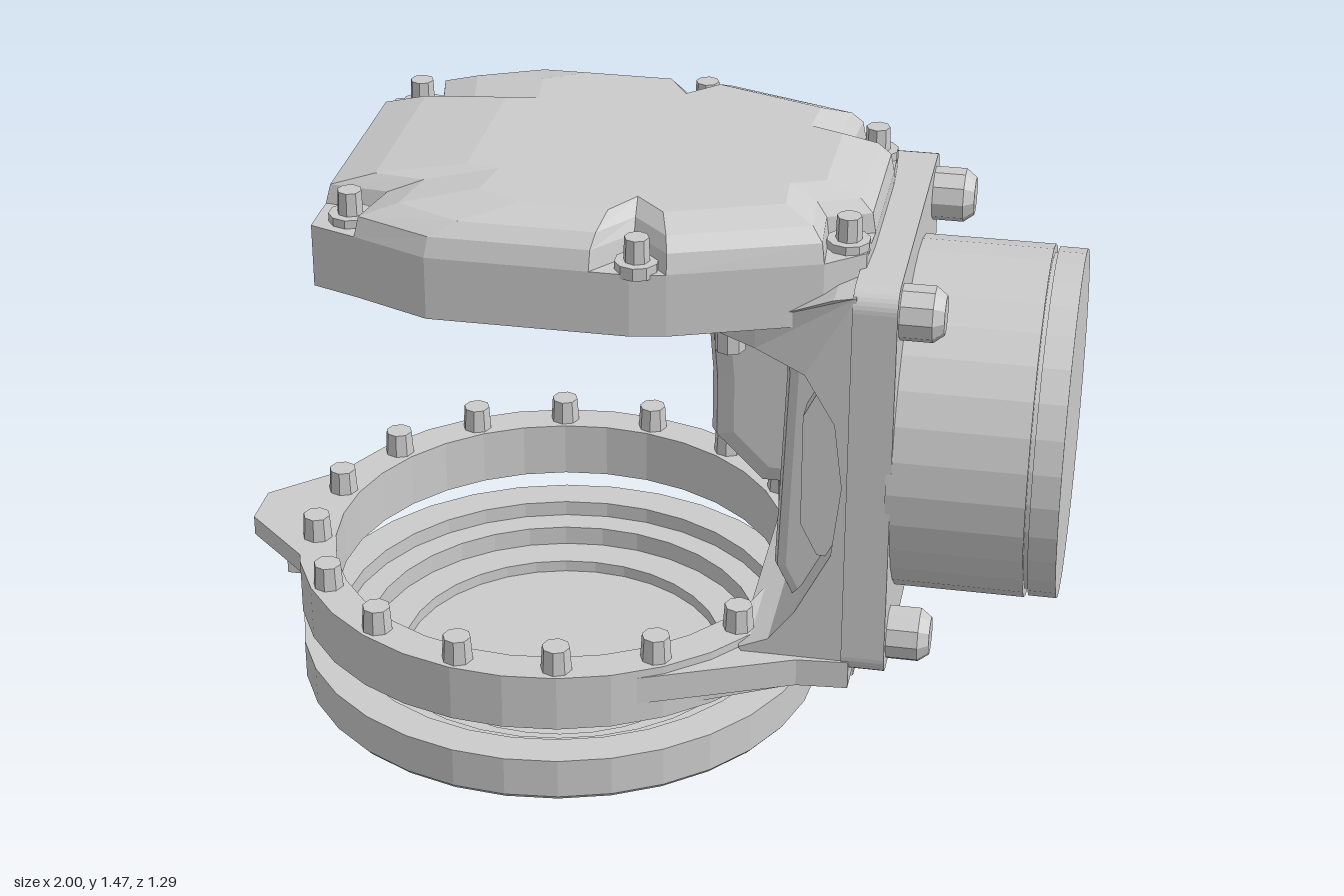
import * as THREE from 'three';

const CX = -0.23; // axis of the flange and lid
const mat = new THREE.MeshStandardMaterial({ color: 0xcccccc, flatShading: true, side: THREE.DoubleSide });

export function createModel() {
  const model = new THREE.Group();

  const add = (name, geo, x = 0, y = 0, z = 0) => {
    const m = new THREE.Mesh(geo, mat);
    m.name = name;
    m.position.set(x, y, z);
    model.add(m);
    return m;
  };
  const poly = pts => new THREE.Shape(pts.map(p => new THREE.Vector2(...p)));
  // Plan outline raised upwards
  const slab = (shape, h) =>
    new THREE.ExtrudeGeometry(shape, { depth: h, bevelEnabled: false, curveSegments: 16 }).rotateX(-Math.PI / 2);
  // Side profile (x, y) extruded symmetrically across z
  const across = (pts, w, bevel = 0) =>
    new THREE.ExtrudeGeometry(poly(pts), {
      depth: w - 2 * bevel, bevelEnabled: bevel > 0, bevelSize: bevel, bevelThickness: bevel,
      bevelOffset: -bevel, bevelSegments: 2,
    }).translate(0, 0, -w / 2 + bevel);
  const lathe = (pts, n = 32) => new THREE.LatheGeometry(pts.map(p => new THREE.Vector2(...p)), n);

  // Domed lid, hollow and stepped inside
  add('lid', lathe([
    [0, 0.005], [0.42, 0.005], [0.57, 0.05], [0.635, 0.058], [0.645, 0.07], [0.645, 0.17], [0.555, 0.17],
    [0.555, 0.13], [0.49, 0.13], [0.49, 0.08], [0.4, 0.08], [0.4, 0.05], [0, 0.05],
  ]), CX);
  add('lidTab', new THREE.BoxGeometry(0.15, 0.045, 0.1), CX, 0.029, 0.49);

  // Bolted ring flange
  add('flangeRing', lathe([
    [0.555, 0.26], [0.645, 0.26], [0.645, 0.4], [0.555, 0.4], [0.555, 0.26],
  ]), CX);
  add('flangePointer', slab(poly([
    [-1, -0.06], [-0.83, -0.22], [-0.77, -0.27], [-0.79, 0], [-0.77, 0.27], [-0.83, 0.22], [-1, 0.06],
  ]), 0.05), 0, 0.35);
  add('pointerRib', new THREE.BoxGeometry(0.06, 0.05, 0.3), -0.86, 0.33, 0);
  for (let i = 1; i < 15; i++) {
    const a = (i + 0.5) * Math.PI / 8;
    add('flangeBolt', new THREE.CylinderGeometry(0.033, 0.037, 0.06, 8),
      CX + 0.6 * Math.cos(a), 0.43, 0.6 * Math.sin(a));
  }

  // Neck joining the flange to the mounting plate, cut around the bore
  const neckShape = (pts, a) => {
    const s = poly(pts);
    s.absarc(CX, 0, 0.56, a, -a, true);
    return s;
  };
  add('neck', slab(neckShape([[0.04, -0.58], [0.42, -0.42], [0.54, -0.41], [0.54, 0.41], [0.42, 0.42], [0.04, 0.58]], 1.1), 0.07), 0, 0.31);
  add('neckUnderside', slab(neckShape([[0.12, -0.52], [0.42, -0.36], [0.54, -0.3], [0.54, 0.3], [0.42, 0.36], [0.12, 0.52]], 0.97), 0.05), 0, 0.275);

  // Square mounting plate with rounded corners
  const R = 0.05, W = 0.41, H = 0.495;
  const plate = new THREE.Shape();
  plate.absarc(W - R, H - R, R, 0, Math.PI / 2);
  plate.absarc(-W + R, H - R, R, Math.PI / 2, Math.PI);
  plate.absarc(-W + R, -H + R, R, Math.PI, Math.PI * 1.5);
  plate.absarc(W - R, -H + R, R, Math.PI * 1.5, Math.PI * 2);
  add('mountingPlate', new THREE.ExtrudeGeometry(plate, { depth: 0.1, bevelEnabled: false, curveSegments: 4 })
    .rotateY(Math.PI / 2), 0.522, 0.84);

  // C-shaped frame; its upper arm narrows towards the cover
  const frame = across([
    [0.53, 0.36], [0.53, 1.32], [0.48, 1.31], [0.3, 1.22], [0.12, 1.22], [0.14, 1.165], [0.3, 1.15], [0.42, 1.12],
    [0.49, 1.0], [0.51, 0.84], [0.49, 0.66], [0.41, 0.5], [0.35, 0.42], [0.28, 0.39], [0.3, 0.36],
  ], 0.81);
  const p = frame.attributes.position;
  for (let i = 0; i < p.count; i++) {
    if (p.getY(i) > 1.1 && p.getX(i) < 0.4) p.setZ(i, p.getZ(i) * (0.65 + 0.35 * (p.getX(i) - 0.12) / 0.28));
  }
  add('frame', frame);
  add('frameWeb', across([
    [0.53, 0.42], [0.53, 1.2], [0.34, 1.2], [0.36, 1.05], [0.35, 0.8], [0.34, 0.54], [0.4, 0.42],
  ], 0.56, 0.03));
  add('gearHousing', across([
    [0.45, 0.7], [0.45, 1.2], [0.13, 1.2], [0.16, 1.1], [0.17, 0.98], [0.17, 0.82], [0.29, 0.7],
  ], 0.4, 0.06));
  add('housingFoot', across([[0.45, 0.4], [0.45, 0.74], [0.32, 0.74], [0.33, 0.54], [0.36, 0.4]], 0.26, 0.02));
  for (const s of [-1, 1]) {
    add('pocketWall', across([[0.52, 0.62], [0.52, 1.06], [0.45, 1.06], [0.41, 0.98], [0.41, 0.7], [0.45, 0.62]], 0.06), 0, 0, s * 0.31);
    add('armBolt', new THREE.CylinderGeometry(0.035, 0.035, 0.06, 8), 0.23, 1.13, s * 0.27);
  }

  // Motor drum with an end cap behind a narrow groove
  const drum = (name, r, x0, x1) =>
    add(name, new THREE.CylinderGeometry(r, r, x1 - x0, 32).rotateZ(Math.PI / 2), (x0 + x1) / 2, 0.84, 0);
  drum('motorDrum', 0.415, 0.61, 0.925);
  drum('motorGroove', 0.395, 0.92, 0.94);
  drum('motorEndCap', 0.41, 0.935, 1);
  for (const y of [0.42, 1.255]) for (const z of [-0.32, 0.32]) {
    add('plateBolt', lathe([[0, 0], [0.064, 0], [0.064, 0.075], [0.045, 0.1], [0, 0.1]], 10)
      .rotateZ(-Math.PI / 2), 0.62, y, z);
  }

  // Cover lofted from plan outlines; [x, z, pocket x, pocket z] for half of it
  const half = [
    [-0.71, 0.25], [-0.71, 0.37, -0.57, 0.265], [-0.6, 0.41], [-0.42, 0.485], [-0.05, 0.485],
    [0.04, 0.485, 0.03, 0.38], [0.12, 0.47], [0.45, 0.35], [0.535, 0.28, 0.44, 0.21], [0.54, 0.17],
  ];
  const outline = [...half, ...half.slice().reverse().map(q => q.map((v, i) => (i % 2 ? -v : v)))];
  const pocketed = q => (q.length > 2 ? [q[2], q[3]] : q);
  const loops = [
    [1.22, q => q],
    [1.37, q => q],
    [1.37, pocketed],
    [1.415, q => { const [x, z] = pocketed(q); return [x * 0.985, z * 0.97]; }],
    [1.445, q => { const [x, z] = pocketed(q); return [x * (x < 0 ? 0.84 : 0.93), z * 0.91]; }],
    [1.472, q => { const [x, z] = pocketed(q); return [x * (x < 0 ? 0.55 : 0.78), z * 0.78]; }],
  ].map(([y, f]) => outline.map(q => { const [x, z] = f(q); return new THREE.Vector3(x, y, z); }));
  const verts = [];
  const tri = (...vs) => vs.forEach(v => verts.push(v.x, v.y, v.z));
  for (let k = 0; k + 1 < loops.length; k++) {
    const lo = loops[k], hi = loops[k + 1];
    lo.forEach((a, i) => {
      const j = (i + 1) % lo.length;
      tri(a, lo[j], hi[j]);
      tri(a, hi[j], hi[i]);
    });
  }
  const cap = (loop, up) => {
    const flat = loop.map(v => new THREE.Vector2(v.x, -v.z));
    for (const [a, b, c] of THREE.ShapeUtils.triangulateShape(flat, [])) {
      if (up) tri(loop[a], loop[b], loop[c]);
      else tri(loop[a], loop[c], loop[b]);
    }
  };
  cap(loops[0], false);
  cap(loops[loops.length - 1], true);
  const cover = new THREE.BufferGeometry();
  cover.setAttribute('position', new THREE.Float32BufferAttribute(verts, 3));
  cover.computeVertexNormals();
  add('cover', cover);

  // Cover bolts standing in the pockets
  for (const [x, z] of [[-0.63, 0.325], [0.05, 0.445], [0.49, 0.25]]) for (const s of [-1, 1]) {
    add('coverBoltSeat', new THREE.CylinderGeometry(0.05, 0.05, 0.03, 10), x, 1.375, s * z);
    add('coverBolt', new THREE.CylinderGeometry(0.028, 0.03, 0.06, 8), x, 1.415, s * z);
  }

  // Rim and lug under the cover
  add('coverRim', lathe([[0.3, 1.23], [0.3, 1.185], [0.36, 1.185], [0.38, 1.23]]), CX);
  add('coverLug', new THREE.BoxGeometry(0.18, 0.05, 0.12), -0.62, 1.203, 0);

  return model;
}
